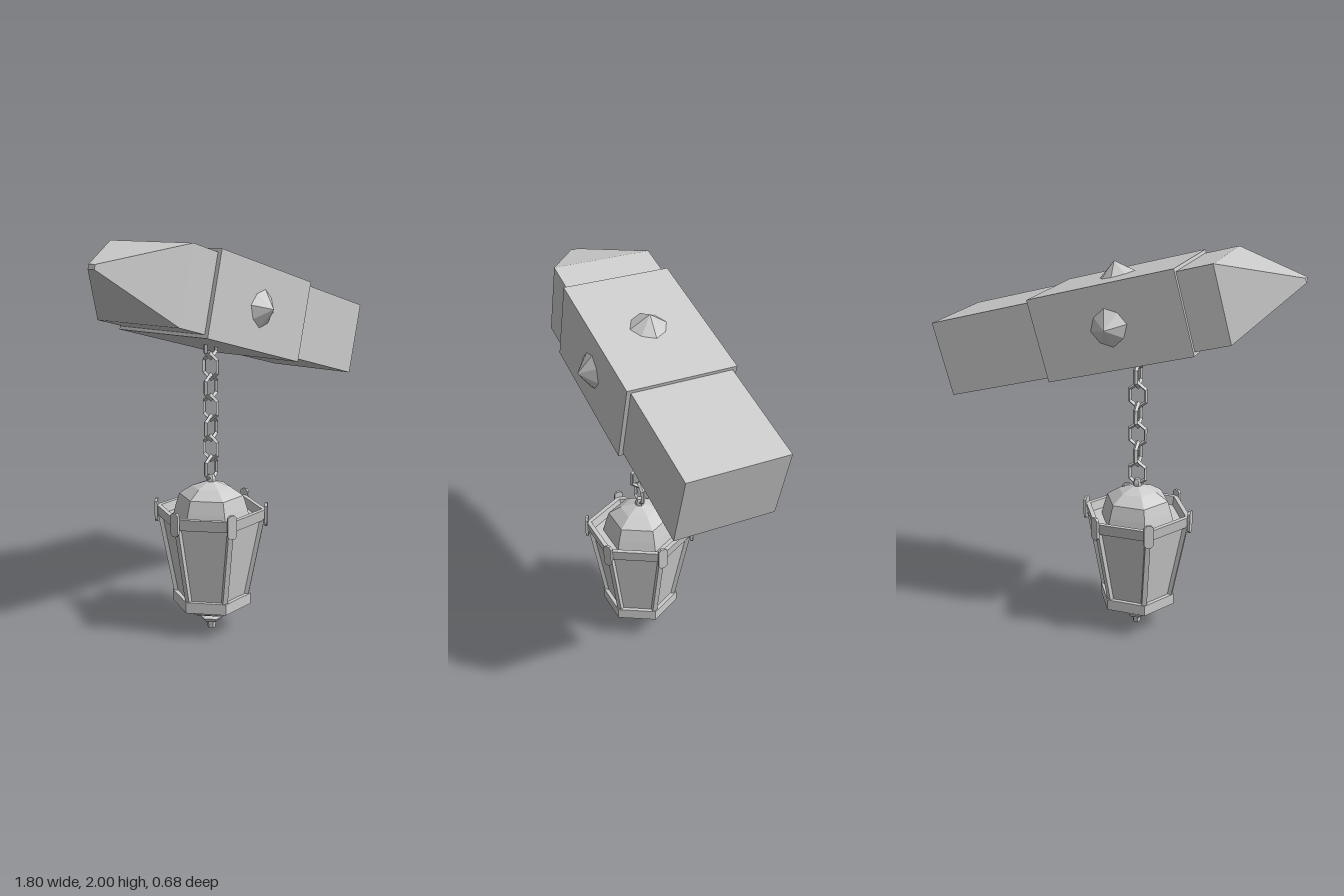
import * as THREE from 'three';

const mat = new THREE.MeshStandardMaterial({ color: 0xcccccc, flatShading: true, side: THREE.DoubleSide });

function add(parent, name, geometry, x = 0, y = 0, z = 0) {
  const mesh = new THREE.Mesh(geometry, mat);
  mesh.name = name;
  mesh.position.set(x, y, z);
  parent.add(mesh);
  return mesh;
}

// Six-sided turned part with corners on the x axis; profile is [radius, y], listed upward
const hexLathe = (profile) =>
  new THREE.LatheGeometry(profile.map(([r, y]) => new THREE.Vector2(r, y)), 6, Math.PI / 6);

// Pointed stud: four main ridges with slightly bulging sides
function studGeometry() {
  const geo = new THREE.ConeGeometry(0.093, 0.067, 8);
  const p = geo.attributes.position;
  for (let i = 0; i < p.count; i++) {
    const x = p.getX(i), z = p.getZ(i);
    if (Math.abs(x) > 0.01 && Math.abs(z) > 0.01) {
      p.setX(i, x * 0.92);
      p.setZ(i, z * 0.92);
    }
  }
  return geo;
}

function createBeam() {
  const beam = new THREE.Group();
  beam.name = 'beam';
  beam.position.set(-0.041, 1.68, 0);
  beam.rotation.z = -Math.PI / 12;

  // Square timber and its sharpened end
  add(beam, 'timber', new THREE.BoxGeometry(1.471, 0.375, 0.504), 0.1865);
  const tip = new THREE.BoxGeometry(0.337, 0.375, 0.504);
  const p = tip.attributes.position;
  for (let i = 0; i < p.count; i++) {
    if (p.getX(i) < 0) {
      p.setY(i, p.getY(i) * 0.06);
      p.setZ(i, p.getZ(i) * 0.08);
    }
  }
  add(beam, 'timberTip', tip, -0.7175);

  // Metal sleeve with studs on front, back and top
  add(beam, 'sleeve', new THREE.BoxGeometry(0.747, 0.408, 0.545));
  add(beam, 'topStud', studGeometry(), 0, 0.2375, 0);
  for (const s of [1, -1]) {
    const stud = add(beam, s > 0 ? 'frontStud' : 'backStud', studGeometry(), 0, 0, s * 0.306);
    stud.rotation.x = s * Math.PI / 2;
  }
  return beam;
}

// Chain of links turned a quarter turn each
function createChain() {
  const chain = new THREE.Group();
  chain.name = 'chain';
  const link = new THREE.TorusGeometry(0.063, 0.012, 4, 6);
  link.rotateZ(Math.PI / 6);
  link.scale(0.77, 1, 1);
  for (let i = 0; i < 7; i++) {
    add(chain, 'chainLink', link, 0, 0.863 + i * 0.104, 0).rotation.y = (i % 2) * Math.PI / 2;
  }
  return chain;
}

// Upright plate with clipped corners
function clipGeometry() {
  const w = 0.024, h = 0.06, c = 0.013;
  const outline = [[-w, c - h], [c - w, -h], [w - c, -h], [w, c - h], [w, h - c], [w - c, h], [c - w, h], [-w, h - c]];
  const shape = new THREE.Shape(outline.map(([x, y]) => new THREE.Vector2(x, y)));
  const geo = new THREE.ExtrudeGeometry(shape, { depth: 0.014, bevelEnabled: false });
  geo.rotateY(Math.PI / 2);
  return geo;
}

function createLantern() {
  const lantern = new THREE.Group();
  lantern.name = 'lantern';

  // Roof, hanger and tapered glass
  add(lantern, 'dome', hexLathe([[0, 0.6], [0.2, 0.6], [0.185, 0.66], [0.165, 0.725], [0.1, 0.768], [0.02, 0.796], [0, 0.796]]));
  add(lantern, 'hanger', hexLathe([[0.024, 0.785], [0.024, 0.81], [0.014, 0.832], [0, 0.832]]));
  add(lantern, 'glass', hexLathe([[0, 0.18], [0.178, 0.18], [0.257, 0.61], [0, 0.61]]));

  // Upper and lower frame rings
  add(lantern, 'upperRing', hexLathe([[0.25, 0.6], [0.275, 0.6], [0.286, 0.658], [0.26, 0.658], [0.25, 0.6]]));
  add(lantern, 'lowerRing', hexLathe([[0, 0.143], [0.205, 0.143], [0.205, 0.2], [0, 0.2]]));

  // Underside dish and finial
  add(lantern, 'dish', hexLathe([[0, 0.1], [0.112, 0.1], [0.135, 0.112], [0.158, 0.145]]));
  add(lantern, 'finial', hexLathe([[0, 0], [0.02, 0], [0.025, 0.038], [0.045, 0.043], [0.063, 0.065], [0.035, 0.078], [0.035, 0.105]]));

  // Corner posts and clips
  const post = new THREE.BoxGeometry(0.022, 0.425, 0.026);
  const clip = clipGeometry();
  for (let i = 0; i < 6; i++) {
    const corner = new THREE.Group();
    corner.name = 'corner';
    corner.rotation.y = i * Math.PI / 3;
    add(corner, 'post', post, 0.223, 0.4, 0).rotation.z = -Math.atan2(0.077, 0.4);
    add(corner, 'clip', clip, 0.276, 0.632, 0);
    lantern.add(corner);
  }
  return lantern;
}

export function createModel() {
  const model = new THREE.Group();
  model.name = 'hangingLantern';
  const hanging = new THREE.Group();
  hanging.name = 'hangingParts';
  hanging.position.x = -0.096;
  hanging.add(createChain(), createLantern());
  model.add(createBeam(), hanging);
  return model;
}
